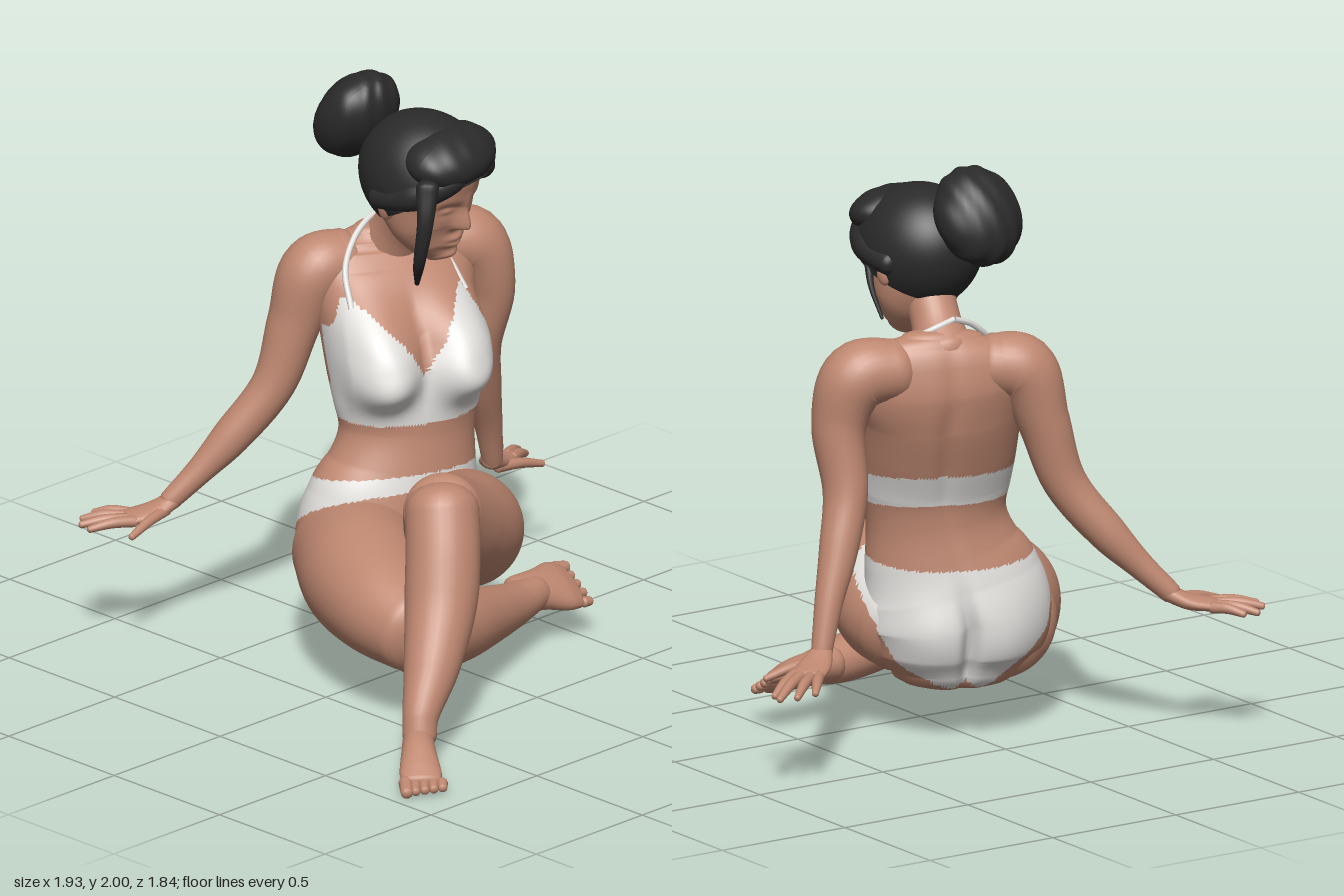
import * as THREE from 'three';

const skin = new THREE.MeshStandardMaterial({ name: 'skin', color: 0xbf8871 });
const cloth = new THREE.MeshStandardMaterial({ name: 'white cloth', color: 0xe0dedb });
const hair = new THREE.MeshStandardMaterial({ name: 'black hair', color: 0x2a2a2a, side: THREE.DoubleSide });

const V = (x, y, z) => new THREE.Vector3(x, y, z);
const bell = (d, width) => Math.exp(-((d / width) ** 2));
const clamp01 = (t) => Math.min(1, Math.max(0, t));

// Closed limb through [x, y, z, radiusA, radiusB] stations with rounded ends.
// shape(p) moves vertices; paint(p) picks the faces that become cloth.
function loft(name, stations, { hint = [0, 0, 1], sides = 28, steps = 8, cap = 0.7, mat = skin, shape, paint } = {}) {
  const centres = new THREE.CatmullRomCurve3(stations.map((s) => V(s[0], s[1], s[2])));
  const radii = new THREE.CatmullRomCurve3(stations.map((s, i) => V(s[3], s[4] ?? s[3], i)));
  const n = (stations.length - 1) * steps;
  const rings = [];
  const capRings = 5;
  for (let k = 0; k < capRings; k++) rings.push([0, -Math.cos((k / capRings) * Math.PI / 2), Math.sin(((k + 0.02) / capRings) * Math.PI / 2)]);
  for (let i = 0; i <= n; i++) rings.push([i / n, 0, 1]);
  for (let k = capRings - 1; k >= 0; k--) rings.push([1, Math.cos((k / capRings) * Math.PI / 2), Math.sin(((k + 0.02) / capRings) * Math.PI / 2)]);
  const pos = [];
  for (const [t, out, scale] of rings) {
    const tangent = centres.getTangent(t);
    const side = tangent.clone().cross(V(...hint)).normalize();
    const normal = side.clone().cross(tangent);
    const r = radii.getPoint(t);
    const c = centres.getPoint(t).addScaledVector(tangent, out * cap * Math.min(r.x, r.y));
    for (let j = 0; j < sides; j++) {
      const a = (j / sides) * Math.PI * 2;
      const p = c.clone().addScaledVector(side, Math.cos(a) * r.x * scale).addScaledVector(normal, Math.sin(a) * r.y * scale);
      if (shape) shape(p);
      pos.push(p.x, p.y, p.z);
    }
  }
  const faces = [[], []];
  const at = (i) => V(pos[i * 3], pos[i * 3 + 1], pos[i * 3 + 2]);
  const add = (a, b, c) => {
    const mid = at(a).add(at(b)).add(at(c)).divideScalar(3);
    faces[paint && paint(mid) ? 1 : 0].push(a, b, c);
  };
  for (let i = 0; i < rings.length - 1; i++) {
    for (let j = 0; j < sides; j++) {
      const k = (j + 1) % sides;
      const a = i * sides + j, b = a + sides, c = i * sides + k, d = c + sides;
      add(a, b, c);
      add(b, d, c);
    }
  }
  const g = new THREE.BufferGeometry();
  g.setAttribute('position', new THREE.Float32BufferAttribute(pos, 3));
  g.setIndex([...faces[0], ...faces[1]]);
  g.addGroup(0, faces[0].length, 0);
  g.addGroup(faces[0].length, faces[1].length, 1);
  g.computeVertexNormals();
  const mesh = new THREE.Mesh(g, paint ? [mat, cloth] : mat);
  mesh.name = name;
  return mesh;
}

// The trunk is turned: U runs to its left, F to its front.
const U = V(0.94, 0, 0.34), F = V(-0.34, 0, 0.94);
function trunkCoords(p) {
  const d = V(p.x - 0.13 * clamp01((p.y - 0.4) / 0.7), 0, p.z + 0.2 + 0.1 * clamp01((p.y - 0.85) / 0.35));
  return { u: d.dot(U), f: d.dot(F), s: Math.abs(d.dot(U)) };
}

// Bust, cleft and spine are pushed out of the plain trunk
function shapeTrunk(p) {
  const { u, f, s } = trunkCoords(p);
  if (f > 0) {
    const v = u + 0.02;
    const q = ((Math.abs(v) - 0.15) / 0.135) ** 2 + ((p.y - 1.05) / (p.y < 1.05 ? 0.14 : 0.18)) ** 2;
    const bust = Math.exp(-(q ** 1.5)) * clamp01(f / 0.08);
    p.addScaledVector(F, 0.14 * bust).addScaledVector(U, Math.sign(v) * 0.025 * bust);
    p.y -= 0.02 * bust;
  } else {
    const back = clamp01(-f / 0.08);
    p.addScaledVector(F, back * 0.018 * bell(u, 0.035) * bell(p.y - 1.0, 0.3));
    p.addScaledVector(F, back * (0.05 * bell(u, 0.025) - 0.02 * bell(s - 0.14, 0.1)) * bell(p.y - 0.32, 0.16));
  }
}

function isBrief(p) {
  const { u, f, s } = trunkCoords(p);
  const legHole = -0.14 + 0.2 * (p.y - 0.2) + 5 * Math.max(0, p.y - 0.38) ** 2;
  return p.y < 0.63 + 0.16 * f && s < 0.08 + (p.y - 0.19) * (u > 0 ? 1.9 : 1.2) && f < legHole;
}

// On the thighs the cloth stops short of the lap
const isBriefOnThigh = (p) => p.z < 0.03 && isBrief(p);

function isTop(p) {
  const { u, f } = trunkCoords(p);
  if (p.y > 0.83 && p.y < 0.94) return true;
  const s = Math.abs(u + 0.03);
  const t = (1.25 - p.y) / 0.25;
  return f > 0 && p.y > 0.9 && t > 0 && s > 0.2 - 0.2 * t ** 0.8 && s < 0.215 + 0.1 * t;
}

// Nose, eye sockets, lids, lips and chin
function shapeFace(p) {
  if (p.z < 0.05) return;
  const ax = Math.abs(p.x);
  p.z += 0.05 * bell(p.x, 0.018 + 0.12 * clamp01(-0.02 - p.y)) * bell(p.y + 0.1, p.y > -0.1 ? 0.07 : 0.018)
    - 0.02 * bell(ax - 0.064, 0.035) * bell(p.y + 0.03, 0.025)
    + 0.014 * bell(ax - 0.064, 0.024) * bell(p.y + 0.036, 0.012)
    + 0.016 * bell(p.x, 0.04) * (bell(p.y + 0.158, 0.011) + bell(p.y + 0.184, 0.012))
    + 0.012 * bell(p.x, 0.04) * bell(p.y + 0.235, 0.02);
}

function ball(name, mat, [x, y, z], [a, b, c], ripple = 0) {
  const g = new THREE.SphereGeometry(1, 48, 32);
  const q = g.attributes.position;
  for (let i = 0; i < q.count; i++) {
    const p = V().fromBufferAttribute(q, i);
    p.multiplyScalar(1 + ripple * Math.sin(14 * p.x + 5 * p.y * p.z));
    q.setXYZ(i, p.x * a, p.y * b, p.z * c);
  }
  g.computeVertexNormals();
  const m = new THREE.Mesh(g, mat);
  m.name = name;
  m.position.set(x, y, z);
  return m;
}

// Palm and fingers; every finger is [base, tip]
function hand(name, palm, fingers) {
  const g = new THREE.Group();
  g.name = name;
  g.add(loft('palm', palm, { hint: [0, 1, 0], sides: 18 }));
  fingers.forEach(([a, b], i) => {
    const m = a.map((v, k) => (v + b[k]) / 2 + (k === 1 ? 0.008 : 0));
    g.add(loft(i === 4 ? 'thumb' : 'finger', [[...a, 0.02], [...m, 0.018], [...b, 0.012]], { hint: [0, 1, 0], sides: 10, steps: 4 }));
  });
  return g;
}

// Foot with five toes spread along "across"; the big toe is first
function foot(name, stations, hint, toeBase, across, reach) {
  const g = new THREE.Group();
  g.name = name;
  g.add(loft('instep', stations, { hint }));
  for (let i = 0; i < 5; i++) {
    const a = V(...toeBase).addScaledVector(V(...across), i - 2);
    const b = a.clone().addScaledVector(V(...reach), 1 - 0.12 * i);
    const r = i === 0 ? 0.025 : 0.019;
    g.add(loft('toe', [[...a, r], [...b, r * 0.85]], { hint, sides: 10, steps: 4 }));
  }
  return g;
}

export function createModel() {
  const model = new THREE.Group();
  model.name = 'seatedWoman';
  const front = F.toArray();

  // Trunk and neck
  model.add(loft('torso', [
    [0, 0.22, -0.2, 0.22, 0.17], [0, 0.29, -0.2, 0.29, 0.205], [0, 0.4, -0.21, 0.325, 0.22], [0.02, 0.52, -0.2, 0.31, 0.205],
    [0.05, 0.64, -0.19, 0.265, 0.185], [0.07, 0.76, -0.19, 0.24, 0.17], [0.08, 0.88, -0.2, 0.26, 0.175],
    [0.1, 1.02, -0.25, 0.27, 0.175], [0.125, 1.16, -0.3, 0.28, 0.17], [0.15, 1.27, -0.34, 0.3, 0.145],
    [0.16, 1.35, -0.355, 0.285, 0.11], [0.16, 1.395, -0.355, 0.23, 0.085], [0.158, 1.425, -0.353, 0.14, 0.065],
  ], { hint: front, sides: 150, steps: 14, cap: 0.4, shape: shapeTrunk, paint: (p) => isBrief(p) || isTop(p) }));
  model.add(loft('neck', [[0.145, 1.36, -0.345, 0.11], [0.13, 1.45, -0.28, 0.085], [0.11, 1.57, -0.19, 0.088]]));

  // Halter straps tied behind the neck
  const straps = [
    [V(0.27, 1.22, -0.11), V(0.272, 1.33, -0.215), V(0.25, 1.41, -0.3), V(0.2, 1.455, -0.36), V(0.12, 1.48, -0.37)],
    [V(-0.13, 1.22, -0.25), V(-0.085, 1.33, -0.325), V(-0.01, 1.41, -0.36), V(0.05, 1.455, -0.365), V(0.12, 1.48, -0.37)],
  ];
  for (const pts of straps) {
    const strap = new THREE.Mesh(new THREE.TubeGeometry(new THREE.CatmullRomCurve3(pts), 30, 0.011, 8), cloth);
    strap.name = 'strap';
    model.add(strap);
  }

  // Arms, leaning back on the hands
  model.add(loft('leftArm', [
    [0.32, 1.325, -0.31, 0.105], [0.44, 1.305, -0.26, 0.118], [0.495, 1.15, -0.235, 0.09, 0.1], [0.5, 0.92, -0.28, 0.074, 0.08],
    [0.555, 0.74, -0.32, 0.066], [0.62, 0.57, -0.355, 0.048], [0.665, 0.42, -0.38, 0.036]]));
  model.add(hand('leftHand', [[0.655, 0.42, -0.375, 0.034, 0.03], [0.72, 0.385, -0.42, 0.058, 0.027], [0.79, 0.37, -0.47, 0.062, 0.02]], [
    [[0.81, 0.37, -0.43], [0.94, 0.33, -0.5]], [[0.81, 0.37, -0.46], [0.95, 0.33, -0.545]],
    [[0.79, 0.37, -0.49], [0.91, 0.34, -0.59]], [[0.76, 0.37, -0.5], [0.84, 0.345, -0.595]], [[0.69, 0.385, -0.38], [0.88, 0.35, -0.36]]]));
  model.add(loft('rightArm', [
    [0.0, 1.32, -0.42, 0.105], [-0.095, 1.295, -0.46, 0.115], [-0.155, 1.12, -0.495, 0.088, 0.095], [-0.22, 0.9, -0.53, 0.074],
    [-0.34, 0.72, -0.61, 0.065], [-0.43, 0.61, -0.665, 0.047], [-0.52, 0.51, -0.72, 0.036]]));
  model.add(hand('rightHand', [[-0.505, 0.515, -0.712, 0.034, 0.03], [-0.57, 0.48, -0.745, 0.056, 0.027], [-0.65, 0.465, -0.79, 0.06, 0.02]], [
    [[-0.66, 0.465, -0.75], [-0.8, 0.455, -0.82]], [[-0.66, 0.465, -0.78], [-0.79, 0.455, -0.87]],
    [[-0.65, 0.465, -0.81], [-0.74, 0.45, -0.915]], [[-0.62, 0.465, -0.82], [-0.68, 0.455, -0.92]], [[-0.55, 0.485, -0.71], [-0.74, 0.45, -0.68]]]));

  // Left leg, knee raised
  const up = [0, 1, 0];
  model.add(loft('leftThigh', [[0.16, 0.385, -0.15, 0.18], [0.135, 0.425, -0.02, 0.2], [0.02, 0.5, 0.14, 0.195], [-0.19, 0.615, 0.295, 0.17],
    [-0.36, 0.745, 0.41, 0.132]], { hint: up, sides: 64, steps: 14, cap: 0.6, paint: isBriefOnThigh }));
  model.add(loft('leftShin', [[-0.375, 0.765, 0.425, 0.125], [-0.42, 0.635, 0.475, 0.126], [-0.48, 0.48, 0.525, 0.122],
    [-0.6, 0.3, 0.6, 0.094], [-0.7, 0.17, 0.65, 0.062], [-0.72, 0.11, 0.665, 0.058]]));
  model.add(foot('leftFoot', [[-0.68, 0.1, 0.62, 0.05, 0.052], [-0.76, 0.085, 0.7, 0.056, 0.06], [-0.84, 0.05, 0.79, 0.07, 0.038],
    [-0.87, 0.036, 0.825, 0.068, 0.025]], up, [-0.868, 0.03, 0.835], [0.022, 0, 0.021], [-0.04, -0.012, 0.045]));

  // Right leg, folded on the ground
  model.add(loft('rightThigh', [[-0.14, 0.37, -0.22, 0.215], [-0.3, 0.37, -0.01, 0.215], [-0.4, 0.355, 0.18, 0.185],
    [-0.435, 0.325, 0.365, 0.15]], { hint: up, sides: 64, steps: 16, cap: 0.5, paint: isBriefOnThigh }));
  model.add(loft('rightShin', [[-0.42, 0.3, 0.365, 0.138], [-0.2, 0.255, 0.31, 0.122], [0, 0.215, 0.24, 0.102], [0.2, 0.185, 0.18, 0.077],
    [0.33, 0.185, 0.155, 0.06]], { hint: up }));
  model.add(foot('rightFoot', [[0.27, 0.19, 0.14, 0.07, 0.06], [0.36, 0.185, 0.145, 0.078, 0.056], [0.44, 0.175, 0.15, 0.1, 0.048],
    [0.485, 0.168, 0.15, 0.1, 0.036]], [0, 0.8, 0.5], [0.495, 0.165, 0.155], [0, -0.02, 0.035], [0.045, -0.005, 0.004]));

  // Head
  const head = new THREE.Group();
  head.name = 'head';
  head.position.set(0.1, 1.68, -0.13);
  head.rotation.set(0.3, 0.12, 0.08, 'YXZ');
  head.add(loft('face', [[0, -0.25, 0.13, 0.055, 0.05], [0, -0.22, 0.105, 0.1, 0.085], [0, -0.16, 0.06, 0.143, 0.132],
    [0, -0.08, 0.02, 0.159, 0.172], [0, 0, 0, 0.165, 0.19], [0, 0.09, -0.01, 0.158, 0.19], [0, 0.15, -0.01, 0.11, 0.13]],
  { sides: 90, steps: 11, cap: 0.4, shape: shapeFace }));
  // Hair parted in the middle and swept over the temples
  head.add(ball('frontHair', hair, [0, 0.128, 0.08], [0.185, 0.09, 0.13], 0.012));
  for (const s of [-1, 1]) {
    head.add(ball('ear', skin, [s * 0.172, -0.065, -0.01], [0.022, 0.055, 0.034]));
    head.add(loft('sweptHair', [[s * 0.008, 0.125, 0.165, 0.035], [s * 0.09, 0.09, 0.15, 0.045], [s * 0.15, 0.03, 0.085, 0.053],
      [s * 0.17, -0.01, 0.03, 0.045], [s * 0.175, -0.05, -0.05, 0.04]], { hint: up, mat: hair }));
  }
  const capShape = new THREE.SphereGeometry(1, 56, 32, 0, Math.PI * 2, 0, 1.9);
  capShape.rotateX(-0.83).scale(0.205, 0.215, 0.24);
  capShape.computeVertexNormals();
  const hairCap = new THREE.Mesh(capShape, hair);
  hairCap.name = 'hairCap';
  head.add(hairCap);
  model.add(head);

  // Bun and loose strands
  const bun = ball('bun', hair, [0.045, 1.835, -0.4], [0.153, 0.175, 0.117], 0.018);
  bun.rotation.x = 0.59;
  model.add(bun);
  model.add(loft('rightStrand', [[-0.06, 1.72, 0.04, 0.04], [-0.092, 1.6, 0.06, 0.028], [-0.085, 1.45, 0.025, 0.02], [-0.02, 1.34, -0.05, 0.008]],
    { hint: [1, 0, 0], sides: 12, mat: hair }));
  model.add(loft('leftStrand', [[0.28, 1.68, -0.1, 0.02], [0.3, 1.58, -0.14, 0.011], [0.288, 1.47, -0.19, 0.006]],
    { hint: [1, 0, 0], sides: 10, mat: hair }));
  return model;
}
